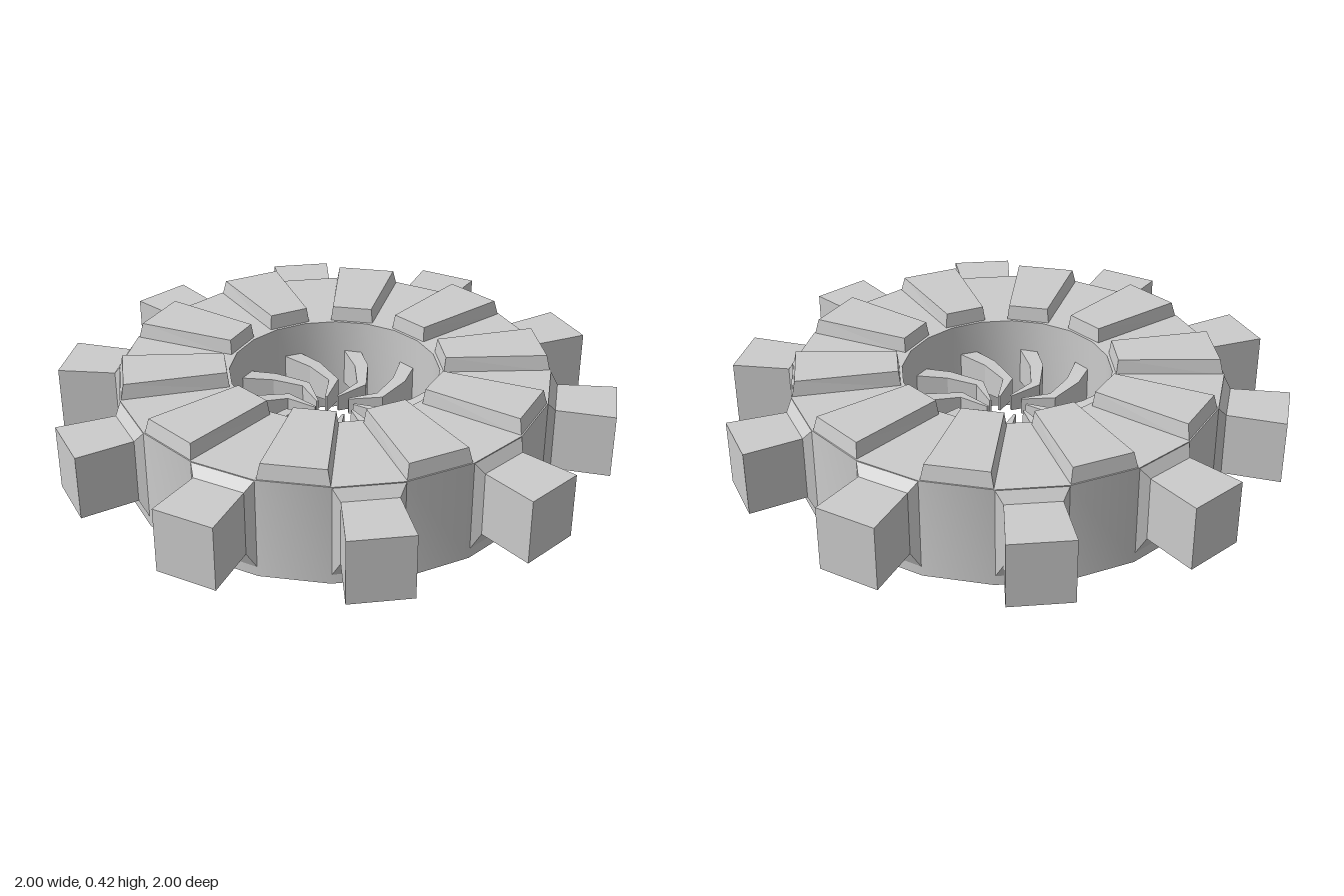
import * as THREE from 'three';
import { toCreasedNormals } from 'three/addons/utils/BufferGeometryUtils.js';

const material = new THREE.MeshStandardMaterial({ color: 0xcccccc });
const RAD = Math.PI / 180;

// Flat-sided solid through four-cornered sections running outward along +x.
function loft(sections) {
  const pos = [];
  const quad = (a, b, c, d) => pos.push(...a, ...b, ...c, ...a, ...c, ...d);
  for (let s = 0; s < sections.length - 1; s++) {
    const p = sections[s], q = sections[s + 1];
    for (let i = 0; i < 4; i++) {
      const j = (i + 1) % 4;
      quad(p[i], p[j], q[j], q[i]);
    }
  }
  const first = sections[0], last = sections[sections.length - 1];
  quad(first[3], first[2], first[1], first[0]);
  quad(...last);
  const geo = new THREE.BufferGeometry();
  geo.setAttribute('position', new THREE.Float32BufferAttribute(pos, 3));
  geo.computeVertexNormals();
  return geo;
}

// Section across the radius; bottom and top edges may differ in reach and width.
const section = (xb, wb, yb, xt, wt, yt) => [
  [xb, yb, wb], [xb, yb, -wb], [xt, yt, -wt], [xt, yt, wt],
];

// Ten copies around the y axis.
function around(name, geometry, startDegrees) {
  const group = new THREE.Group();
  group.name = name + 's';
  for (let k = 0; k < 10; k++) {
    const mesh = new THREE.Mesh(geometry, material);
    mesh.name = name;
    mesh.rotation.y = (startDegrees + 36 * k) * RAD;
    group.add(mesh);
  }
  return group;
}

// Curved blade: each station is [radius, angle, half width, bottom, top].
function bladeGeometry() {
  const stations = [
    [0.385, 0, 0.03, 0.11, 0.25],
    [0.285, -11, 0.025, 0.12, 0.24],
    [0.175, -25, 0.018, 0.14, 0.23],
    [0.07, 0, 0.004, 0.16, 0.22],
  ];
  const pts = stations.map(([r, a]) =>
    new THREE.Vector2(r * Math.cos(a * RAD), -r * Math.sin(a * RAD)));
  const sections = stations.map(([, , w, y0, y1], i) => {
    const dir = pts[Math.max(i - 1, 0)].clone()
      .sub(pts[Math.min(i + 1, pts.length - 1)]).normalize();
    const { x, y: z } = pts[i];
    const nx = -dir.y * w, nz = dir.x * w;
    return [
      [x + nx, y0, z + nz], [x - nx, y0, z - nz],
      [x - nx, y1, z - nz], [x + nx, y1, z + nz],
    ];
  });
  return loft(sections.reverse());
}

export function createModel() {
  const model = new THREE.Group();
  model.name = 'toothedWheel';

  // Ring body with an open centre
  const profile = [[0.375, 0], [0.77, 0], [0.77, 0.37], [0.375, 0.37], [0.375, 0]]
    .map(([x, y]) => new THREE.Vector2(x, y));
  const ring = new THREE.Mesh(
    toCreasedNormals(new THREE.LatheGeometry(profile, 20), 0.6), material);
  ring.name = 'ring';
  model.add(ring);

  // Outer teeth, each rising from a tapered root
  const tooth = loft([
    section(0.758, 0.12, 0.03, 0.758, 0.12, 0.37),
    section(0.787, 0.094, 0.095, 0.787, 0.094, 0.33),
    section(0.995, 0.11, 0.095, 0.995, 0.11, 0.33),
  ]);
  model.add(around('tooth', tooth, 27));

  // Raised wedge plates on the top face
  const plate = loft([
    section(0.38, 0.08, 0.365, 0.387, 0.073, 0.424),
    section(0.757, 0.12, 0.365, 0.745, 0.108, 0.424),
  ]);
  model.add(around('topPlate', plate, 9));

  // Swirling blades inside the hole
  model.add(around('innerBlade', bladeGeometry(), 9));

  return model;
}
